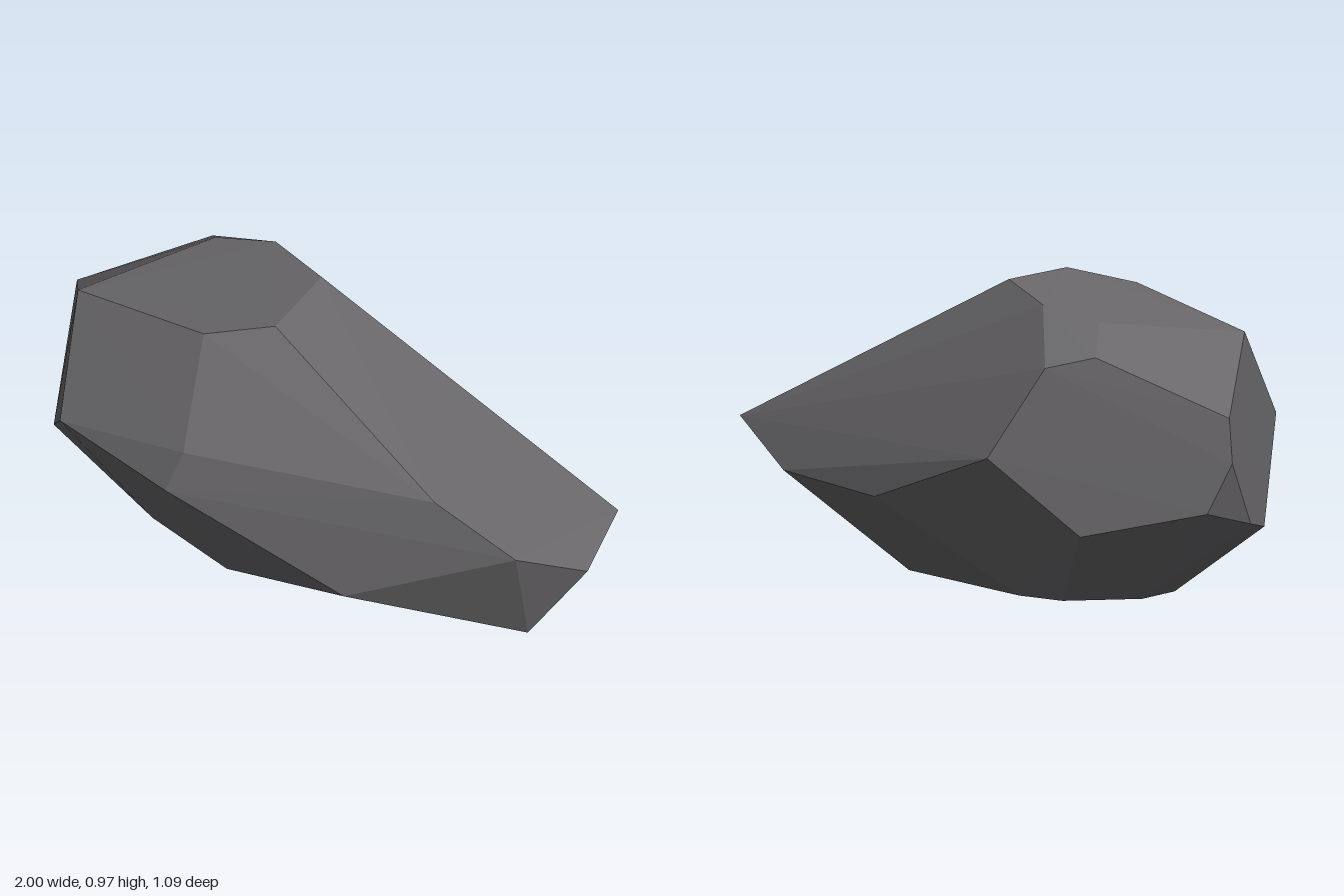
import * as THREE from 'three';
import { ConvexGeometry } from 'three/addons/geometries/ConvexGeometry.js';

// Corner rings of the boulder, each corner as [x, y, z]
const crown = [
  [-0.10, 0.97, 0.15], [-0.10, 0.97, -0.14], [-0.34, 0.93, -0.27],
  [-0.54, 0.89, -0.24], [-0.81, 0.84, 0.15], [-0.30, 0.93, 0.25],
];
const shoulder = [
  [0.58, 0.66, 0.335], [-0.23, 0.655, 0.50], [-0.98, 0.62, -0.14],
  [-0.61, 0.80, -0.345], [-0.48, 0.765, -0.435],
];
const waist = [
  [-0.72, 0.54, 0.42], [-0.27, 0.52, 0.543], [0.855, 0.52, 0.307],
  [1.00, 0.40, 0.11], [0.95, 0.435, -0.17], [-0.34, 0.48, -0.55],
  [-1.00, 0.48, -0.15],
];
const skirt = [
  [0.32, 0.27, 0.453], [0.83, 0.145, 0.187], [0.66, 0.31, -0.315],
  [0.20, 0.29, -0.437], [-0.60, 0.24, -0.41], [-0.94, 0.32, -0.20],
  [-0.97, 0.27, -0.02], [-0.92, 0.24, 0.11],
];
const foot = [
  [-0.24, 0, 0.21], [0.45, 0, 0.01], [0.33, 0, -0.10],
  [-0.24, 0, -0.265], [-0.41, 0, -0.26], [-0.58, 0, -0.075], [-0.57, 0, 0.10],
];

export function createModel() {
  const group = new THREE.Group();
  group.name = 'boulder';

  const stone = new THREE.MeshStandardMaterial({ color: 0x69676a });
  stone.name = 'dark grey stone';

  // Flat facets wrapped around the corners
  const corners = [crown, shoulder, waist, skirt, foot]
    .flat()
    .map((p) => new THREE.Vector3(...p));
  const rock = new THREE.Mesh(new ConvexGeometry(corners), stone);
  rock.name = 'rock';
  group.add(rock);

  return group;
}
